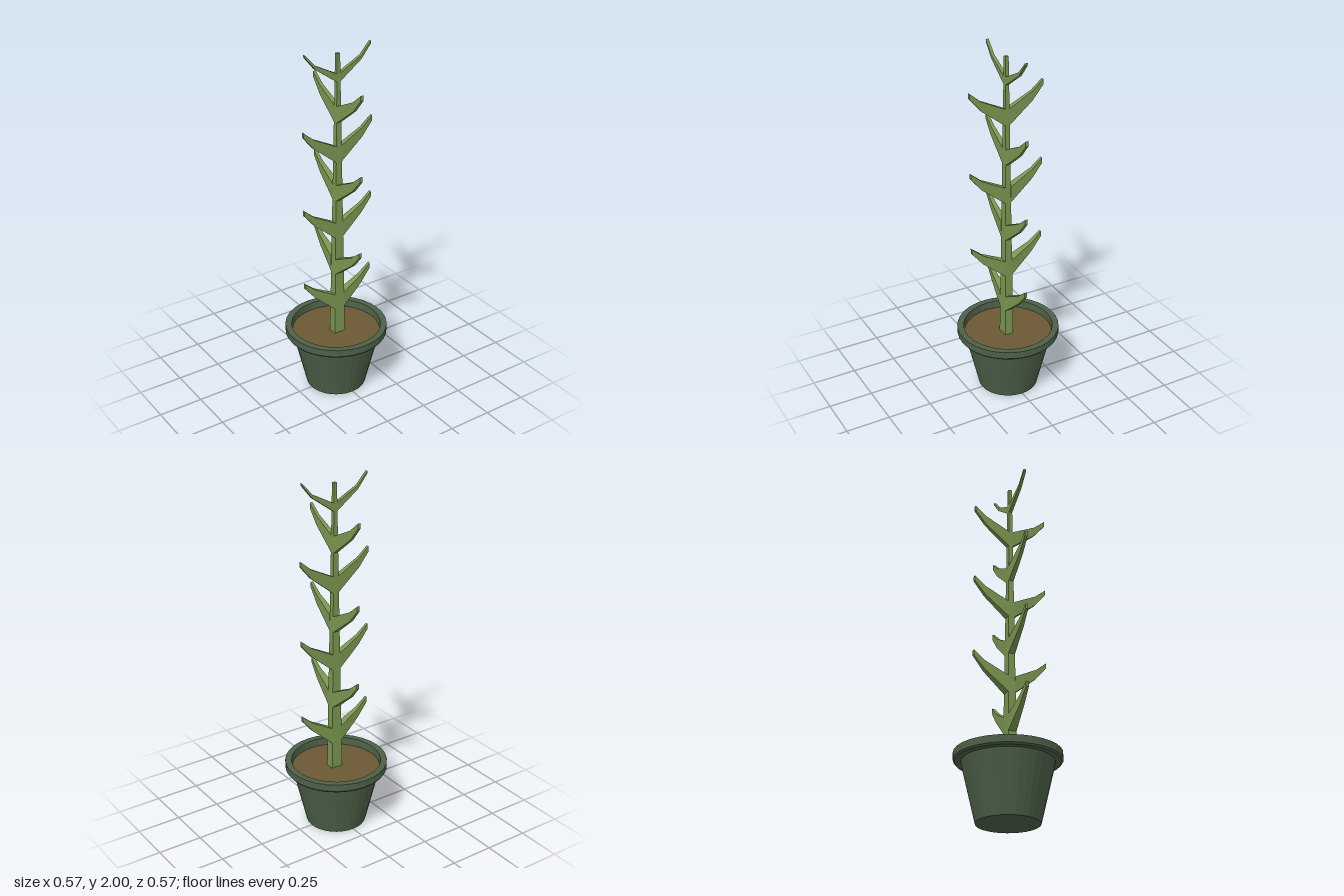
import * as THREE from 'three';

const material = (color) => new THREE.MeshStandardMaterial({ color, flatShading: true });

const BASE = 0.32, TOP = 1.97;
// Half-widths of the tapering stem at height y
const stemHalf = (y) => {
  const t = (y - BASE) / (TOP - BASE);
  return { x: THREE.MathUtils.lerp(0.034, 0.009, t), z: THREE.MathUtils.lerp(0.025, 0.009, t) };
};

// Leaf sections from stem to tip: distance, underside height, top height
const LEAF = [[0, 0, 0.092], [0.15, 0.108, 0.16], [0.213, 0.183, 0.213]];
const TOP_LEAF = [[0, 0, 0.045], [0.14, 0.092, 0.112], [0.2, 0.165, 0.178]];

// Box bent through three sections, narrowing towards the tip
function leafGeometry(sections, start, halfWidth) {
  const geo = new THREE.BoxGeometry(1, 1, 1, 2, 1, 1);
  const p = geo.attributes.position;
  for (let i = 0; i < p.count; i++) {
    const s = Math.round((p.getX(i) + 0.5) * 2);
    const [d, low, high] = sections[s];
    const half = THREE.MathUtils.lerp(halfWidth, 0.008, d / sections[2][0]);
    p.setXYZ(i, s === 0 ? start : d, p.getY(i) > 0 ? high : low, Math.sign(p.getZ(i)) * half);
  }
  geo.computeVertexNormals();
  return geo;
}

function stemGeometry() {
  const geo = new THREE.BoxGeometry(1, 1, 1);
  const p = geo.attributes.position;
  for (let i = 0; i < p.count; i++) {
    const y = p.getY(i) > 0 ? TOP : BASE;
    const h = stemHalf(y);
    p.setXYZ(i, Math.sign(p.getX(i)) * h.x, y, Math.sign(p.getZ(i)) * h.z);
  }
  geo.computeVertexNormals();
  return geo;
}

export function createModel() {
  const model = new THREE.Group();
  model.name = 'pottedPlant';
  const green = material(0x7a9650);

  // Pot with overhanging rim and inner lip
  const profile = [[0, 0], [0.168, 0], [0.245, 0.325], [0.277, 0.325], [0.285, 0.335],
    [0.285, 0.375], [0.25, 0.375], [0.246, 0.325]].map(([x, y]) => new THREE.Vector2(x, y));
  const pot = new THREE.Mesh(new THREE.LatheGeometry(profile, 32), material(0x4d6148));
  pot.name = 'pot';
  model.add(pot);

  // Soil
  const soil = new THREE.Mesh(new THREE.CircleGeometry(0.247, 32), material(0x6b5834));
  soil.name = 'soil';
  soil.rotation.x = -Math.PI / 2;
  soil.position.y = 0.332;
  model.add(soil);

  // Plant sits slightly forward of the pot centre
  const plant = new THREE.Group();
  plant.name = 'plant';
  plant.position.set(0.002, 0, 0.011);
  model.add(plant);

  const stem = new THREE.Mesh(stemGeometry(), green);
  stem.name = 'stem';
  plant.add(stem);

  // Seven opposite leaf pairs, each turned a quarter from the last
  for (let i = 0; i < 7; i++) {
    const y = 0.488 + i * 0.222;
    const h = stemHalf(y);
    const along = i % 2 ? h.z : h.x, across = i % 2 ? h.x : h.z;
    const geo = leafGeometry(i === 6 ? TOP_LEAF : LEAF, along * 0.9, across);
    const pair = new THREE.Group();
    pair.name = `leafPair${i + 1}`;
    pair.position.y = y;
    pair.rotation.y = (i % 2) * Math.PI / 2;
    for (const turn of [0, Math.PI]) {
      const leaf = new THREE.Mesh(geo, green);
      leaf.name = 'leaf';
      leaf.rotation.y = turn;
      pair.add(leaf);
    }
    plant.add(pair);
  }
  return model;
}
